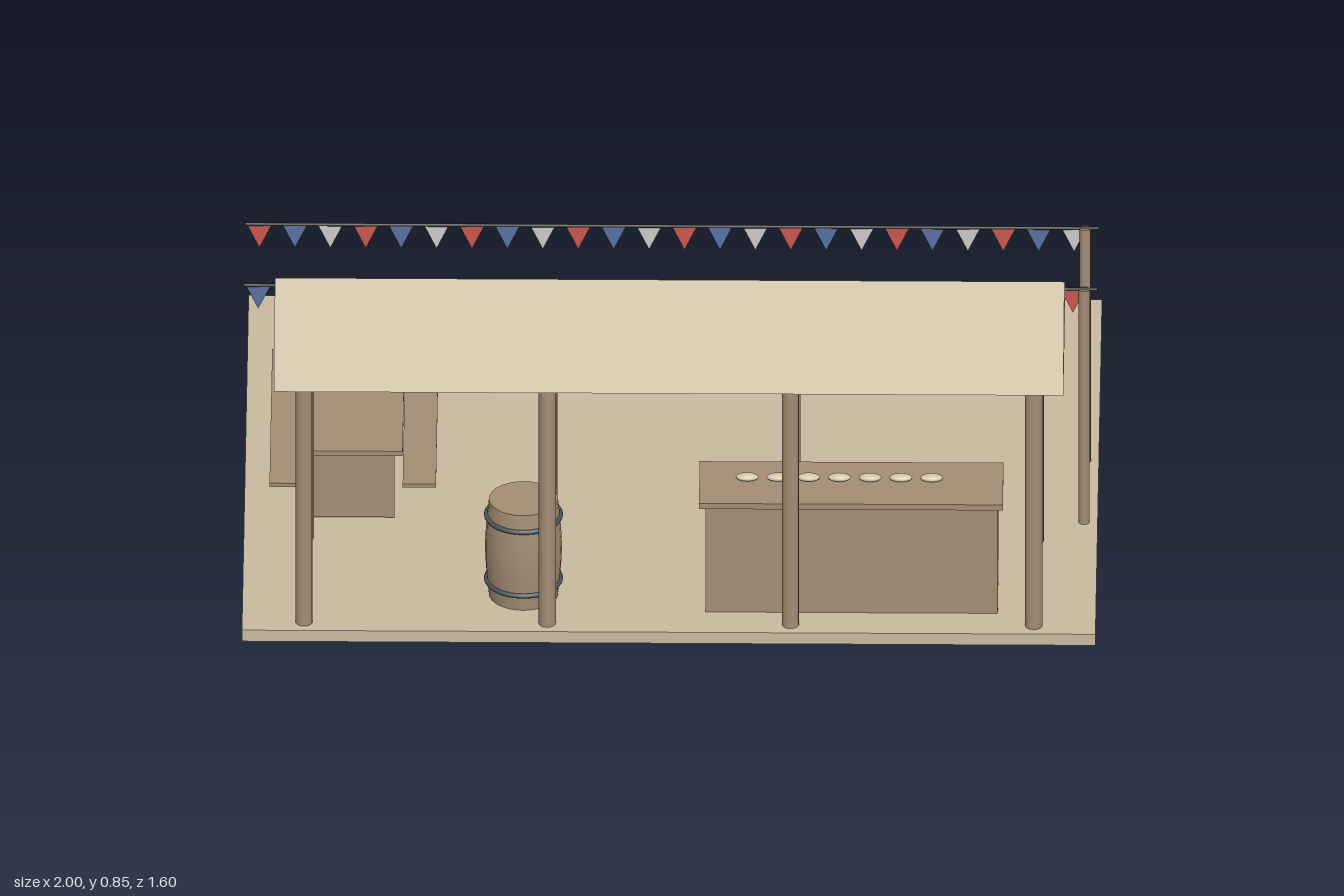
import * as THREE from 'three';

const material = (name, color, extra = {}) => {
  const m = new THREE.MeshStandardMaterial({ color, ...extra });
  m.name = name;
  return m;
};

export function createModel() {
  const sand = material('sand', 0xc8bba0);
  const wood = material('wood', 0xa48e76);
  const cream = material('cream', 0xd2c6a8);
  const iron = material('iron', 0x4c555c);
  const cord = material('cord', 0x33322f);
  const flagColors = [
    material('flagBlue', 0x5872a2, { side: THREE.DoubleSide }),
    material('flagWhite', 0xcdcbc8, { side: THREE.DoubleSide }),
    material('flagRed', 0xc9584e, { side: THREE.DoubleSide }),
  ];

  const model = new THREE.Group();
  model.name = 'marketStall';

  const group = (name) => {
    const g = new THREE.Group();
    g.name = name;
    model.add(g);
    return g;
  };
  const add = (parent, name, geometry, mat, x = 0, y = 0, z = 0) => {
    const mesh = new THREE.Mesh(geometry, mat);
    mesh.name = name;
    mesh.position.set(x, y, z);
    parent.add(mesh);
    return mesh;
  };
  // Box given by its minimum and maximum on each axis
  const box = (parent, name, mat, [x0, x1], [y0, y1], [z0, z1]) =>
    add(parent, name, new THREE.BoxGeometry(x1 - x0, y1 - y0, z1 - z0), mat,
      (x0 + x1) / 2, (y0 + y1) / 2, (z0 + z1) / 2);
  const post = (parent, name, radius, top, x, z) =>
    add(parent, name, new THREE.CylinderGeometry(radius, radius, top - 0.03, 16), wood,
      x, (top + 0.03) / 2, z);

  // Ground slab
  box(model, 'ground', sand, [-1, 1], [0, 0.03], [-0.8, 0.77]);

  // Gabled roof on two rows of posts
  const shelter = group('shelter');
  const gable = new THREE.Shape([
    new THREE.Vector2(0.265, 0.69),
    new THREE.Vector2(0.795, 0.69),
    new THREE.Vector2(0.53, 0.845),
  ]);
  const roof = new THREE.ExtrudeGeometry(gable, { depth: 1.85, bevelEnabled: false });
  roof.translate(0, 0, -0.925).rotateY(-Math.PI / 2);
  add(shelter, 'roof', roof, sand);
  for (const z of [0.33, 0.73]) {
    for (let i = 0; i < 4; i++) post(shelter, 'roofPost', 0.02, 0.69, -0.855 + i * 0.57, z);
  }

  // Counter with a row of loaves
  const counter = group('counter');
  box(counter, 'counterBody', wood, [0.085, 0.77], [0.03, 0.316], [0.502, 0.674]);
  box(counter, 'counterTop', wood, [0.07, 0.782], [0.316, 0.331], [0.489, 0.687]);
  const loaf = new THREE.SphereGeometry(1, 16, 10).scale(0.027, 0.009, 0.015);
  for (let i = 0; i < 7; i++) add(counter, 'loaf', loaf, cream, 0.182 + i * 0.072, 0.339, 0.575);

  // Barrel with two hoops
  const barrel = group('barrel');
  barrel.position.set(-0.342, 0.03, 0.59);
  const curve = new THREE.SplineCurve([
    new THREE.Vector2(0.081, 0),
    new THREE.Vector2(0.087, 0.064),
    new THREE.Vector2(0.09, 0.128),
    new THREE.Vector2(0.087, 0.192),
    new THREE.Vector2(0.081, 0.256),
  ]);
  add(barrel, 'barrelSide', new THREE.LatheGeometry(curve.getPoints(12), 28), wood);
  const lid = new THREE.CircleGeometry(0.081, 28).rotateX(-Math.PI / 2);
  add(barrel, 'barrelLid', lid, wood, 0, 0.256, 0);
  const hoop = new THREE.TorusGeometry(0.087, 0.006, 8, 28).rotateX(Math.PI / 2);
  for (const y of [0.042, 0.214]) add(barrel, 'barrelHoop', hoop, iron, 0, y, 0);

  // Picnic table with a bench on each side
  const table = group('picnicTable');
  const length = [-0.329, 0.299];
  box(table, 'tableTop', wood, [-0.862, -0.628], [0.231, 0.244], length);
  for (const z of [-0.27, 0.24]) {
    box(table, 'tableLeg', wood, [-0.842, -0.648], [0.036, 0.231], [z - 0.008, z + 0.008]);
  }
  box(table, 'rightBench', wood, [-0.94, -0.862], [0.146, 0.156], length);
  box(table, 'leftBench', wood, [-0.628, -0.55], [0.146, 0.156], length);

  // Two lines of bunting, each held by one pole
  const pennant = new THREE.ShapeGeometry(new THREE.Shape([
    new THREE.Vector2(-0.029, 0),
    new THREE.Vector2(0, -0.062),
    new THREE.Vector2(0.029, 0),
  ]));
  const line = new THREE.CylinderGeometry(0.004, 0.004, 2, 8).rotateZ(Math.PI / 2);
  [0.243, -0.043].forEach((z, row) => {
    const bunting = group('bunting');
    post(bunting, 'buntingPole', 0.013, 0.66, 0.968, z);
    add(bunting, 'buntingLine', line, cord, 0, 0.659, z);
    for (let i = 0; i < 24; i++) {
      add(bunting, 'pennant', pennant, flagColors[(i + row * 2) % 3], -0.967 + i * 0.083, 0.658, z);
    }
  });

  return model;
}
